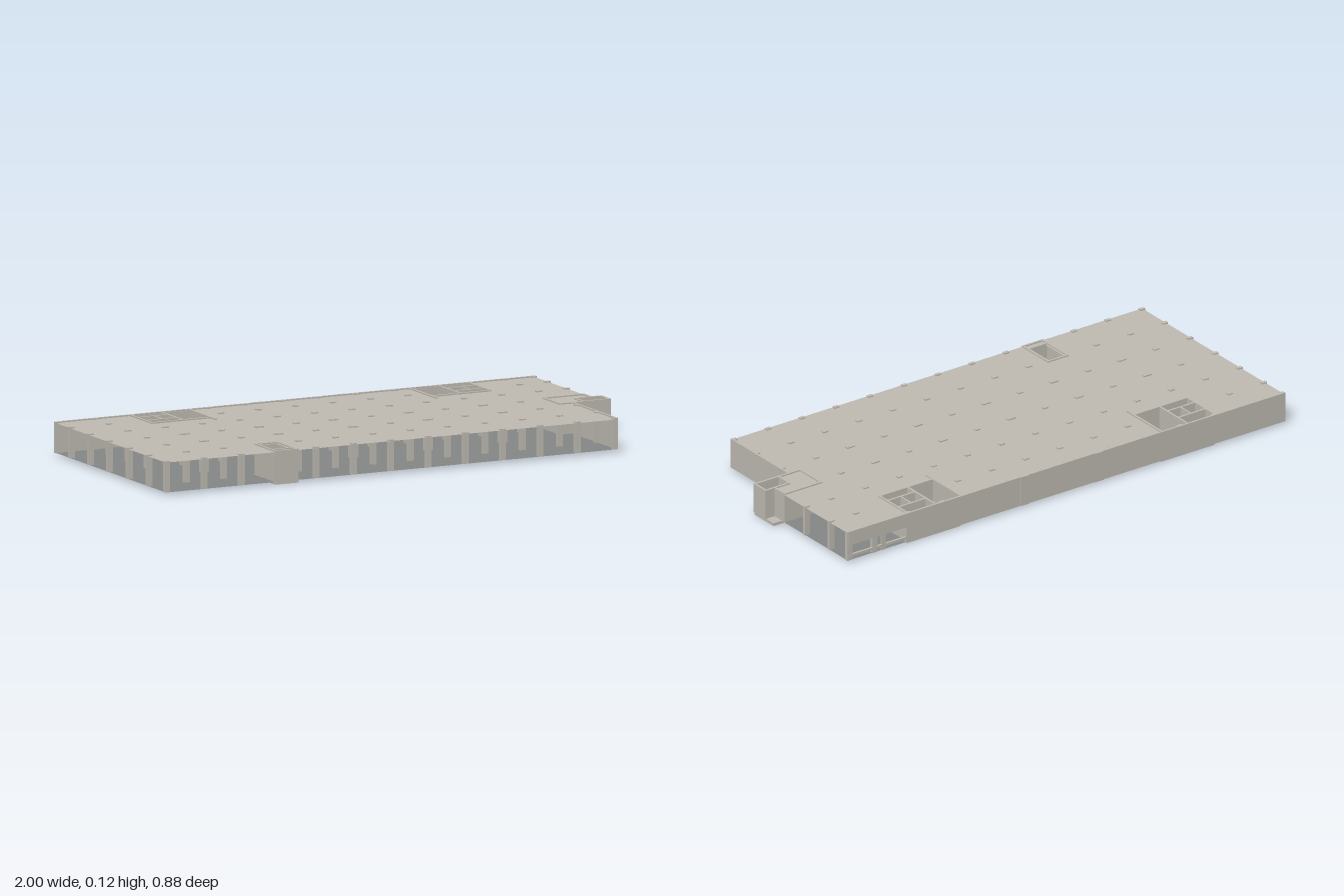
import * as THREE from 'three';

export function createModel() {
  const root = new THREE.Group();
  const concrete = new THREE.MeshStandardMaterial({ color: 0xc0bcb3, side: THREE.DoubleSide });
  concrete.name = 'concrete';
  const floorGrey = new THREE.MeshStandardMaterial({ color: 0x858886, side: THREE.DoubleSide });
  floorGrey.name = 'floor grey';

  const FLOOR = 0.01, CEIL = 0.12, TOP = 0.125, T = 0.008;

  function add(name, geo, mat = concrete, parent = root) {
    const m = new THREE.Mesh(geo, mat);
    m.name = name;
    parent.add(m);
    return m;
  }
  // Box given by its limits in x, y and z
  function block(name, x0, x1, y0, y1, z0, z1, parent = root) {
    const m = add(name, new THREE.BoxGeometry(x1 - x0, y1 - y0, z1 - z0), concrete, parent);
    m.position.set((x0 + x1) / 2, (y0 + y1) / 2, (z0 + z1) / 2);
    return m;
  }
  const wallX = (name, x0, x1, z, parent, y0 = FLOOR, y1 = TOP) =>
    block(name, x0, x1, y0, y1, z - T / 2, z + T / 2, parent);
  const wallZ = (name, x, z0, z1, parent, y0 = FLOOR, y1 = TOP) =>
    block(name, x - T / 2, x + T / 2, y0, y1, z0, z1, parent);

  // Plan outlines: points are [x, z], rectangles are [x0, x1, z0, z1]
  const corners = ([x0, x1, z0, z1]) => [[x0, z0], [x1, z0], [x1, z1], [x0, z1]];
  const toVec = (pts) => pts.map(([x, z]) => new THREE.Vector2(x, -z));
  function plan(pts, holes) {
    const s = new THREE.Shape(toVec(pts));
    holes.forEach((h) => s.holes.push(new THREE.Path(toVec(corners(h)))));
    return s;
  }
  function sheet(name, shape, y, mat) {
    const m = add(name, new THREE.ShapeGeometry(shape).rotateX(-Math.PI / 2), mat);
    m.position.y = y;
  }
  function pad(name, rect, holes, parent) {
    const g = new THREE.ExtrudeGeometry(plan(corners(rect), holes), { depth: FLOOR + 0.001, bevelEnabled: false });
    add(name, g.rotateX(-Math.PI / 2), concrete, parent);
  }

  const outline = [[-0.995, 0.438], [0.85, 0.438], [0.85, 0.085], [0.89, 0.085],
    [0.89, 0.02], [0.96, 0.02], [0.96, -0.435], [-0.995, -0.435]];
  const cores = [[-0.69, -0.45, -0.428, -0.26], [0.45, 0.69, -0.428, -0.26]];
  const shaft = [-0.535, -0.47, 0.29, 0.4];

  // Floor and ceiling sheets, open at the stair cores and the front shaft
  sheet('floor', plan(outline, [...cores, shaft]), FLOOR, floorGrey);
  sheet('ceiling', plan(outline, [...cores, shaft]), CEIL, concrete);

  // Two rear cores with a pair of open lift shafts each
  cores.forEach(([x0, x1, z0, z1], i) => {
    const core = new THREE.Group();
    core.name = i ? 'leftRearCore' : 'rightRearCore';
    root.add(core);
    const a = i ? 0.565 : -0.69, b = a + 0.125, mid = a + 0.066;
    pad('corePad', [x0, x1, z0, z1], [[a + 0.004, mid - 0.003, -0.37, -0.313],
      [mid + 0.003, b - 0.004, -0.37, -0.313]], core);
    wallX('coreFrontWall', x0, x1, z1, core);
    wallZ('coreSideWall', x0, z0, z1, core);
    wallZ('coreSideWall', x1, z0, z1, core);
    wallZ('liftSideWall', i ? a : b, z0, z1, core);
    wallX('liftFrontWall', a, b, -0.308, core);
    wallX('liftBackWall', a, b, -0.374, core);
    block('liftDivider', mid - 0.003, mid + 0.003, 0, TOP, -0.37, -0.31, core);
    wallZ('lobbyWall', i ? x0 : x1, -0.26, -0.22, core);
    // Stair flight beside the lifts
    const s0 = i ? x0 + 0.02 : b + 0.015, s1 = i ? a - 0.015 : x1 - 0.02;
    for (let k = 0; k < 8; k++) {
      const w = (s1 - s0) / 8;
      block('stairStep', s0 + k * w, s0 + (k + 1) * w, FLOOR, 0.02 + k * 0.008, -0.345, -0.285, core);
    }
  });

  // Front stair core
  const front = new THREE.Group();
  front.name = 'frontCore';
  root.add(front);
  pad('corePad', [-0.55, -0.455, 0.27, 0.438], [], front);
  wallX('coreFrontWall', -0.55, -0.455, 0.434, front);
  wallX('coreBackWall', -0.55, -0.455, 0.28, front);
  wallZ('coreSideWall', -0.546, 0.28, 0.434, front);
  wallZ('coreSideWall', -0.459, 0.28, 0.434, front);
  wallX('shaftWall', -0.546, -0.459, 0.404, front);

  // Entrance wing with an open well
  const wing = new THREE.Group();
  wing.name = 'entranceWing';
  root.add(wing);
  pad('wingPad', [0.79, 0.998, -0.03, 0.088], [], wing);
  wallX('wingFrontWall', 0.79, 1, 0.086, wing);
  wallZ('wingEndWall', 0.996, 0.02, 0.09, wing);
  wallX('wingBackWall', 0.89, 1, 0.02, wing);
  wallZ('wellWall', 0.89, 0.02, 0.086, wing);
  wallZ('wingSideWall', 0.956, -0.045, 0.02, wing);
  wallX('wingRearWall', 0.79, 0.96, -0.041, wing);
  wallZ('wingInnerWall', 0.794, -0.041, 0.086, wing);

  // Outer walls: solid side wall, rear wall with a wide opening
  wallZ('sideWall', 0.846, 0.086, 0.438);
  wallX('rearWall', -1, 0.7, -0.434);
  wallX('rearLintel', 0.7, 0.96, -0.434, root, 0.07);
  wallX('rearRail', 0.7, 0.96, -0.434, root, 0.022, 0.032);
  block('rearPost', 0.79, 0.81, FLOOR, TOP, -0.438, -0.43);

  // Small projections on the rear wall
  for (const x of [-0.165, 0.17]) block('rearPilaster', x - 0.02, x + 0.02, FLOOR, TOP, -0.441, -0.434);

  // Square column grid, its tops just above the ceiling
  const blocked = [...cores, [-0.56, -0.45, 0.26, 0.45], [0.78, 1, -0.06, 0.1]];
  const columns = new THREE.Group();
  columns.name = 'columns';
  root.add(columns);
  const rows = [0.43, 0.29, 0.135, -0.02, -0.17, -0.32, -0.43];
  rows.forEach((z, r) => {
    for (let i = 0; i < 14; i++) {
      const x = i === 13 ? 0.952 : -0.988 + i * 0.1523;
      if (i === 13 && z > 0.1) continue;
      if (blocked.some(([a, b, c, d]) => x > a - 0.01 && x < b + 0.01 && z > c && z < d)) continue;
      const wide = i > 0 && i < 12 && (r === 2 || r === 3) && i % 2 === 0;
      const w = wide ? 0.017 : 0.011;
      block('column', x - w, x + w, FLOOR, TOP, z - 0.007, z + 0.007, columns);
    }
  });
  return root;
}
